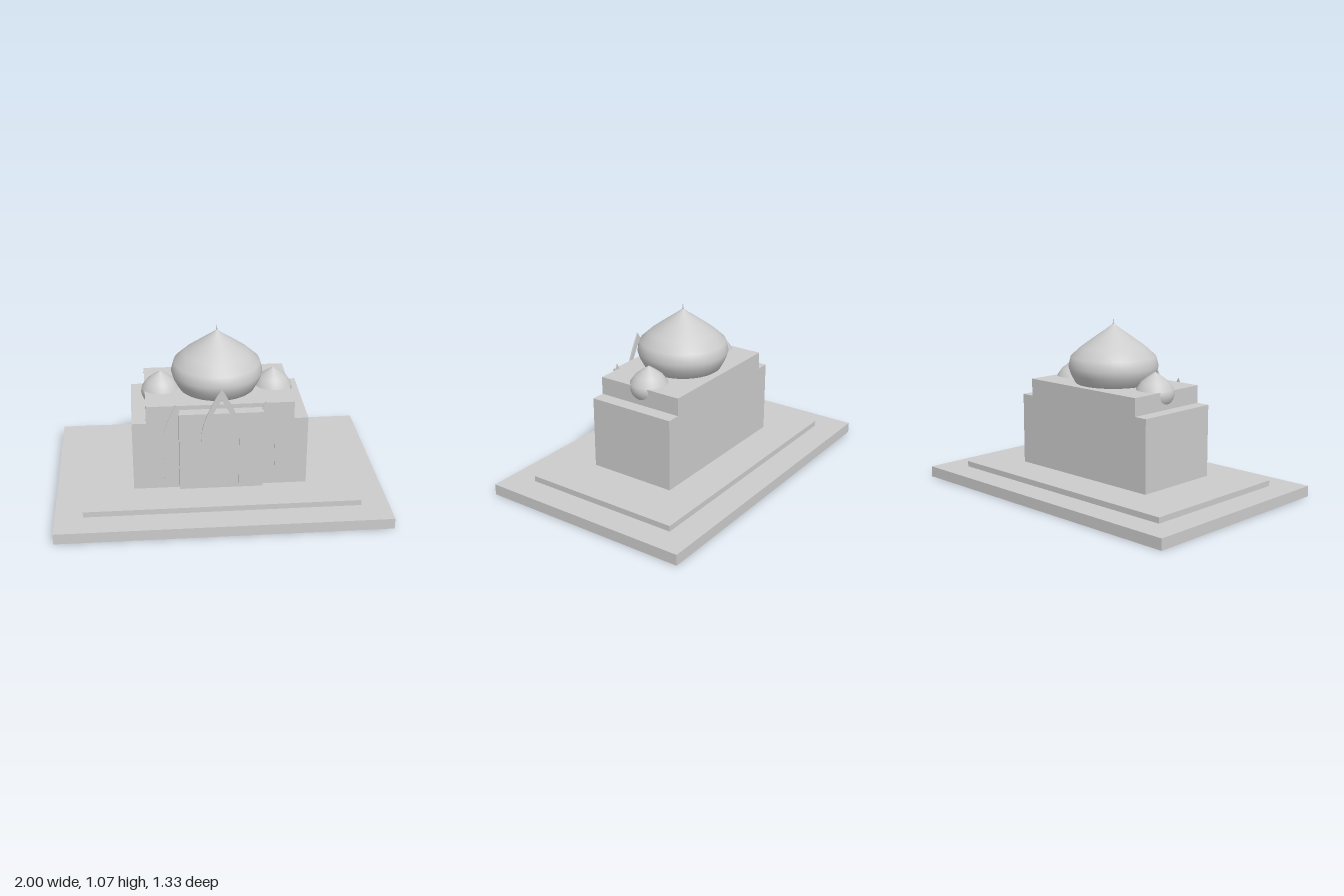
import * as THREE from 'three';

export function createModel() {
  const model = new THREE.Group();
  const stone = new THREE.MeshStandardMaterial({ color: 0xcccccc });
  stone.name = 'paleStone';

  function add(name, geometry, x = 0, y = 0, z = 0) {
    const mesh = new THREE.Mesh(geometry, stone);
    mesh.name = name;
    mesh.position.set(x, y, z);
    model.add(mesh);
    return mesh;
  }

  // Box given by its width, bottom, top, back and front
  function block(name, width, y0, y1, z0, z1) {
    add(name, new THREE.BoxGeometry(width, y1 - y0, z1 - z0), 0, (y0 + y1) / 2, (z0 + z1) / 2);
  }

  // Stepped plinth, hall and entrance block
  block('lowerPlinth', 2, 0, 0.067, -0.667, 0.667);
  block('upperPlinth', 1.664, 0.067, 0.102, -0.5, 0.5);
  block('hall', 1.054, 0.115, 0.558, -0.278, 0.278);
  block('upperHall', 0.884, 0.558, 0.667, -0.278, 0.278);
  block('entranceBlock', 0.5, 0.14, 0.64, 0.278, 0.345);

  // Onion domes turned from a profile of [radius, height] points
  function dome(name, profile, x) {
    const points = profile.map(([r, y]) => new THREE.Vector2(r, y));
    add(name, new THREE.LatheGeometry(points, 40), x);
  }
  dome('mainDome', [[0, 0.6], [0.17, 0.61], [0.235, 0.67], [0.264, 0.725], [0.278, 0.77],
    [0.262, 0.83], [0.2, 0.887], [0.11, 0.952], [0.045, 0.997], [0, 1.03]], 0);
  const smallProfile = [[0, 0.565], [0.07, 0.567], [0.095, 0.585], [0.11, 0.61], [0.118, 0.64],
    [0.113, 0.67], [0.083, 0.713], [0.045, 0.743], [0.018, 0.761], [0, 0.773]];
  dome('leftDome', smallProfile, 0.345);
  dome('rightDome', smallProfile, -0.345);

  // Finial
  add('finial', new THREE.ConeGeometry(0.007, 0.055, 12), 0, 1.04, 0);

  // Pointed arch frame, open at the bottom
  function arch(name, x, z, depth, half, spring, apex, innerApex) {
    const base = 0.17, t = 0.015, inner = half - t;
    const bend = spring + (apex - spring) * 0.39;
    const innerBend = spring + (innerApex - spring) * 0.36;
    const s = new THREE.Shape();
    s.moveTo(half, base);
    s.lineTo(half, spring);
    s.quadraticCurveTo(half * 1.03, bend, 0, apex);
    s.quadraticCurveTo(-half * 1.03, bend, -half, spring);
    s.lineTo(-half, base);
    s.lineTo(-inner, base);
    s.lineTo(-inner, spring);
    s.quadraticCurveTo(-inner * 0.97, innerBend, 0, innerApex);
    s.quadraticCurveTo(inner * 0.97, innerBend, inner, spring);
    s.lineTo(inner, base);
    s.closePath();
    add(name, new THREE.ExtrudeGeometry(s, { depth, bevelEnabled: false, curveSegments: 8 }), x, 0, z);
  }
  arch('centralArch', 0, 0.345, 0.009, 0.12, 0.47, 0.8, 0.73);
  arch('leftArch', 0.265, 0.302, 0.005, 0.075, 0.45, 0.687, 0.637);
  arch('rightArch', -0.265, 0.302, 0.005, 0.075, 0.45, 0.687, 0.637);

  return model;
}
